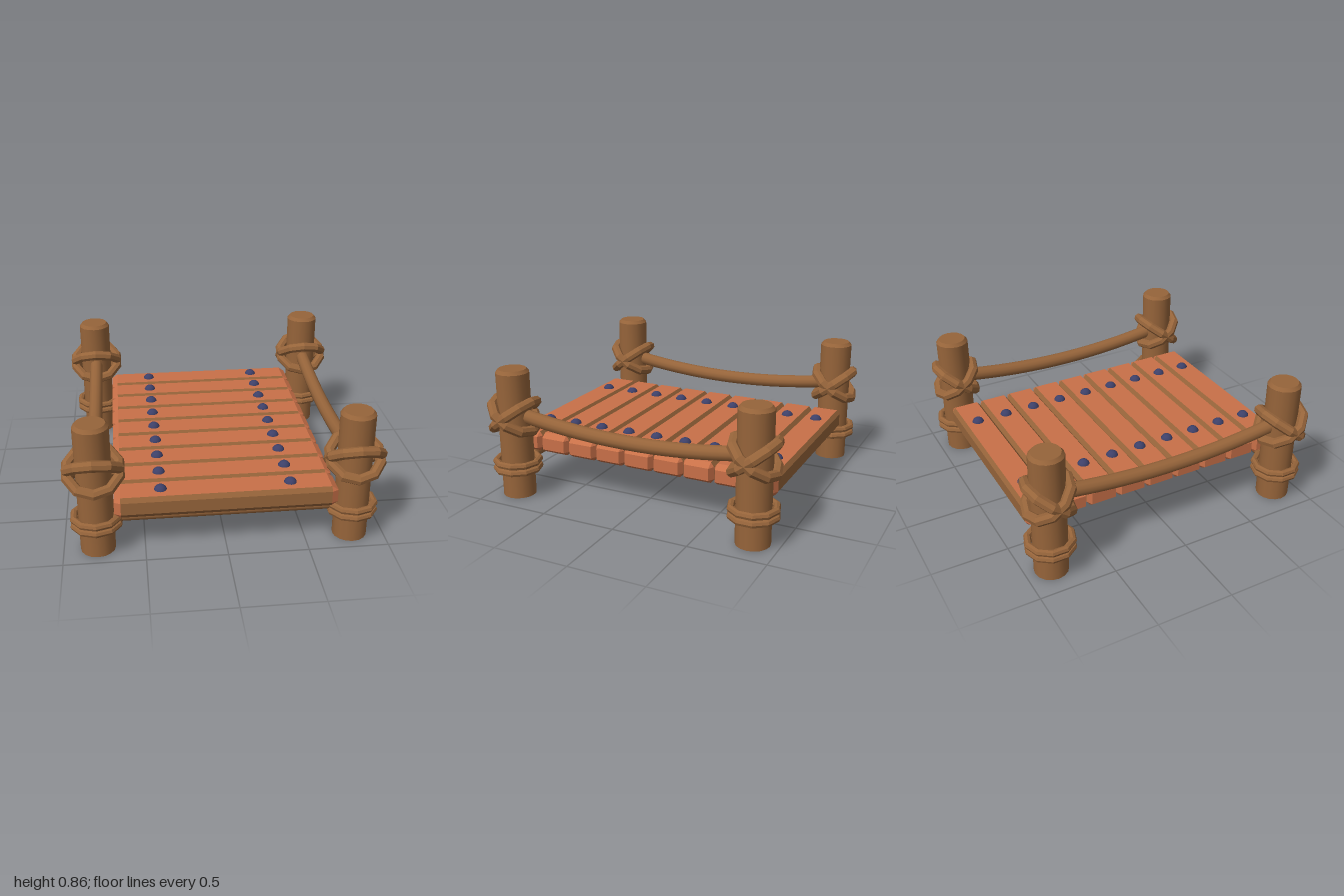
import * as THREE from 'three';
import { toCreasedNormals } from 'three/addons/utils/BufferGeometryUtils.js';
import { ConvexGeometry } from 'three/addons/geometries/ConvexGeometry.js';

const POST_X = 0.79, POST_Z = 0.833;

function material(name, color) {
  const m = new THREE.MeshStandardMaterial({ color });
  m.name = name;
  return m;
}

// Low-poly rope ring lying flat, with a corner pointing along z
function ringGeometry(radius, tube) {
  const g = new THREE.TorusGeometry(radius, tube, 8, 10);
  g.rotateZ(Math.PI / 10).rotateX(Math.PI / 2);
  return toCreasedNormals(g, 0.1);
}

// Box with every edge cut; long side faces use material 1, the rest material 0
function plankGeometry(hx, hy, hz, cx, cy, cz) {
  const points = [];
  for (const sx of [-1, 1]) for (const sy of [-1, 1]) for (const sz of [-1, 1]) {
    points.push(
      new THREE.Vector3(sx * hx, sy * (hy - cy), sz * (hz - cz)),
      new THREE.Vector3(sx * (hx - cx), sy * hy, sz * (hz - cz)),
      new THREE.Vector3(sx * (hx - cx), sy * (hy - cy), sz * hz));
  }
  const g = new ConvexGeometry(points);
  const n = g.attributes.normal;
  for (let i = 0; i < n.count; i += 3) {
    const side = Math.abs(n.getX(i)) < 0.2 && Math.abs(n.getZ(i)) > 0.3;
    g.addGroup(i, 3, side ? 1 : 0);
  }
  return g;
}

export function createModel() {
  const model = new THREE.Group();
  model.name = 'plankBridge';
  const bark = material('brownWood', 0x96643a);
  const deck = material('orangeWood', 0xc87048);
  const iron = material('navyMetal', 0x3d4068);

  function add(parent, name, geometry, mat, x = 0, y = 0, z = 0) {
    const mesh = new THREE.Mesh(geometry, mat);
    mesh.name = name;
    mesh.position.set(x, y, z);
    parent.add(mesh);
    return mesh;
  }

  // Corner posts with rope lashings
  const profile = [[0, 0], [0.108, 0], [0.108, 0.838], [0.09, 0.86], [0, 0.86]]
    .map(([x, y]) => new THREE.Vector2(x, y));
  const postGeo = toCreasedNormals(new THREE.LatheGeometry(profile, 16), 0.5);
  const lashing = ringGeometry(0.14, 0.023);
  const knot = ringGeometry(0.16, 0.035);
  for (const sx of [-1, 1]) for (const sz of [-1, 1]) {
    const corner = new THREE.Group();
    corner.name = (sz > 0 ? 'front' : 'back') + (sx > 0 ? 'Left' : 'Right') + 'Corner';
    corner.position.set(sx * POST_X, 0, sz * POST_Z);
    add(corner, 'post', postGeo, bark);
    for (const y of [0.188, 0.235]) add(corner, 'lowerLashing', lashing, bark, 0, y, 0);
    for (const tilt of [-0.64, 0.64]) {
      add(corner, 'crossedLashing', knot, bark, 0, 0.55, 0).rotation.x = tilt;
    }
    model.add(corner);
  }

  // Sagging rope rails
  for (const sx of [-1, 1]) {
    const path = new THREE.QuadraticBezierCurve3(
      new THREE.Vector3(0, 0.565, -POST_Z),
      new THREE.Vector3(0, 0.415, 0),
      new THREE.Vector3(0, 0.565, POST_Z));
    add(model, sx > 0 ? 'leftRail' : 'rightRail',
      new THREE.TubeGeometry(path, 20, 0.046, 12), bark, sx * POST_X);
  }

  // Cross beams under the end planks
  const beam = new THREE.CylinderGeometry(0.034, 0.034, POST_X * 2, 12).rotateZ(Math.PI / 2);
  for (const sz of [-1, 1]) {
    add(model, sz > 0 ? 'frontBeam' : 'backBeam', beam, bark, 0, 0.222, sz * POST_Z);
  }

  // Deck planks, each with two bolts
  const plankGeo = plankGeometry(0.68, 0.068, 0.102, 0.04, 0.028, 0.02);
  const boltGeo = new THREE.SphereGeometry(0.041, 16, 12);
  for (let i = 0; i < 9; i++) {
    const z = 0.005 + (i - 4) * 0.2075;
    add(model, 'plank', plankGeo, [deck, bark], 0, 0.327, z);
    for (const sx of [-1, 1]) add(model, 'bolt', boltGeo, iron, sx * 0.397, 0.384, z);
  }
  return model;
}
